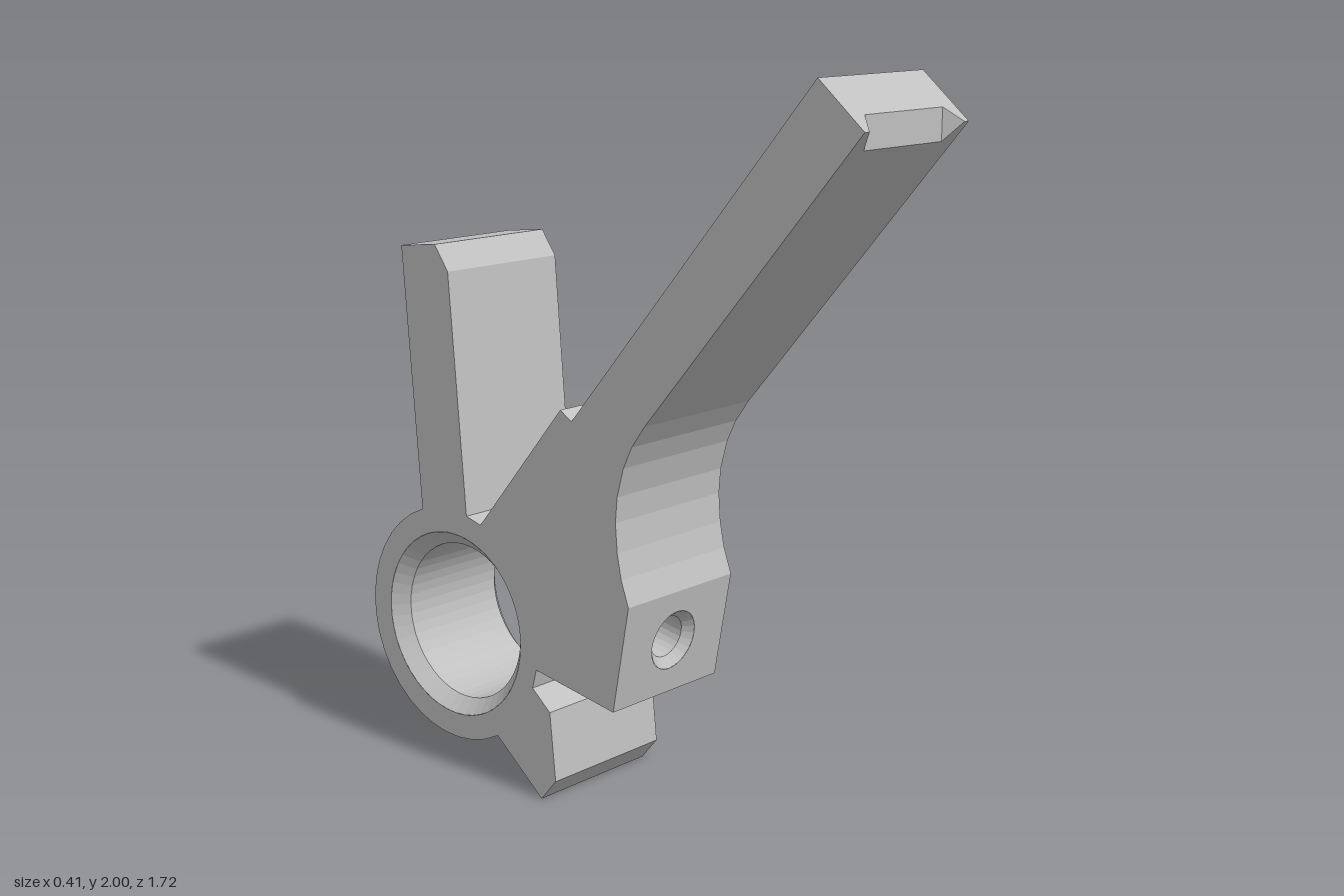
import * as THREE from 'three';

const W = 0.2075; // half thickness along x
const BORE = { z: -0.52, y: 0.43, inner: 0.225, mouth: 0.265, outer: 0.336 };

// Side outline as [z, y], running from the tip of the long arm round to its lower corner
function outline() {
  const pts = [
    [0.725, 2.0], [-0.055, 1.085], [-0.095, 1.11], [-0.405, 0.74], [-0.46, 0.755], // long arm, step
    [-0.515, 1.43], [-0.565, 1.5], [-0.7, 1.485], // short arm
  ];
  const steps = 20, a0 = 1.935, a1 = 5.243;
  for (let i = 0; i <= steps; i++) { // ring around the bore
    const a = a0 + (a1 - a0) * i / steps;
    pts.push([BORE.z + BORE.outer * Math.cos(a), BORE.y + BORE.outer * Math.sin(a)]);
  }
  pts.push(
    [-0.18, 0], [-0.125, 0.065], [-0.145, 0.26], [-0.21, 0.315], [-0.195, 0.37], // foot and slot
    [0.09, 0.32], [0.145, 0.62], // screw face
    [0.12, 0.69], [0.106, 0.76], [0.1, 0.84], [0.106, 0.91], [0.128, 0.99], [0.157, 1.05], [0.2, 1.11], // hollow
    [0.86, 1.885],
  );
  return pts;
}

// Frame of a wall panel: local x across, local y along the edge p-q, local z outward
function panelMatrix(p, q) {
  const L = Math.hypot(q[0] - p[0], q[1] - p[1]);
  const dz = (q[0] - p[0]) / L, dy = (q[1] - p[1]) / L;
  return new THREE.Matrix4().makeBasis(
    new THREE.Vector3(1, 0, 0), new THREE.Vector3(0, dy, dz), new THREE.Vector3(0, -dz, dy),
  ).setPosition(0, p[1], p[0]);
}

const toShape = (pts) => new THREE.Shape(pts.map(([a, b]) => new THREE.Vector2(a, b)));

export function createModel() {
  const group = new THREE.Group();
  const grey = new THREE.MeshStandardMaterial({ color: 0xc0c0c0, flatShading: true });
  grey.name = 'light grey metal';
  const add = (name, geometry) => {
    const mesh = new THREE.Mesh(geometry, grey);
    mesh.name = name;
    group.add(mesh);
  };

  const pts = outline();
  const n = pts.length;

  // Two side faces with the bore opening
  for (const s of [1, -1]) {
    const shape = toShape(pts.map(([z, y]) => [-s * z, y]));
    const hole = new THREE.Path();
    hole.absarc(-s * BORE.z, BORE.y, BORE.mouth, 0, Math.PI * 2);
    shape.holes.push(hole);
    const side = new THREE.ShapeGeometry(shape, 48);
    side.rotateY(s * Math.PI / 2).translate(s * W, 0, 0);
    add(s > 0 ? 'leftSide' : 'rightSide', side);
  }

  // Chamfered bore
  const c = BORE.mouth - BORE.inner;
  const bore = new THREE.LatheGeometry([
    new THREE.Vector2(BORE.mouth, W), new THREE.Vector2(BORE.inner, W - c),
    new THREE.Vector2(BORE.inner, c - W), new THREE.Vector2(BORE.mouth, -W),
  ], 48);
  bore.rotateZ(Math.PI / 2).translate(0, BORE.y, BORE.z);
  add('bore', bore);

  // Edge walls, with the screw hole and the tip notch cut where they belong
  const screwEdge = pts.findIndex(([z, y]) => z === 0.09 && y === 0.32);
  const notchOut = 0.19, notchIn = 0.155, endDepth = 0.0525, underDepth = 0.062;
  for (let i = 0; i < n; i++) {
    const p = pts[i], q = pts[(i + 1) % n];
    const L = Math.hypot(q[0] - p[0], q[1] - p[1]);
    const m = panelMatrix(p, q);
    let corners = [[-W, 0], [W, 0], [W, L], [-W, L]];
    let name = 'edgeWall';
    if (i === n - 1) { // end face of the long arm
      name = 'armEnd';
      corners = [[-W, 0], [-notchOut, 0], [-notchIn, endDepth], [notchIn, endDepth], [notchOut, 0],
        [W, 0], [W, L], [-W, L]];
    } else if (i === n - 2) { // underside of the long arm
      name = 'armUnderside';
      corners = [[-W, 0], [W, 0], [W, L], [notchOut, L], [notchIn, L - underDepth],
        [-notchIn, L - underDepth], [-notchOut, L], [-W, L]];
    }
    const shape = toShape(corners);
    if (i === screwEdge) {
      name = 'screwFace';
      const at = 0.158, mouth = 0.085, r = 0.06, depth = 0.2;
      const hole = new THREE.Path();
      hole.absarc(0, at, mouth, 0, Math.PI * 2);
      shape.holes.push(hole);
      const screwHole = new THREE.LatheGeometry([
        new THREE.Vector2(mouth, 0), new THREE.Vector2(r, -0.025),
        new THREE.Vector2(r, -depth), new THREE.Vector2(0, -depth),
      ], 24);
      screwHole.rotateX(Math.PI / 2).translate(0, at, 0).applyMatrix4(m);
      add('screwHole', screwHole);
    }
    add(name, new THREE.ShapeGeometry(shape, 24).applyMatrix4(m));
  }

  // Notch floor and its two slanted ends
  const tip = pts[n - 1];
  const along = (to, d) => {
    const L = Math.hypot(to[0] - tip[0], to[1] - tip[1]);
    return [tip[1] + (to[1] - tip[1]) * d / L, tip[0] + (to[0] - tip[0]) * d / L];
  };
  const top = along(pts[0], endDepth), low = along(pts[n - 2], underDepth);
  const corner = [tip[1], tip[0]];
  const notch = new THREE.BufferGeometry();
  notch.setAttribute('position', new THREE.Float32BufferAttribute([
    -notchIn, ...low, notchIn, ...low, notchIn, ...top, -notchIn, ...top,
    notchOut, ...corner, -notchOut, ...corner,
  ], 3));
  notch.setIndex([0, 1, 2, 0, 2, 3, 1, 4, 2, 0, 3, 5]);
  notch.computeVertexNormals();
  add('tipNotch', notch);

  return group;
}
